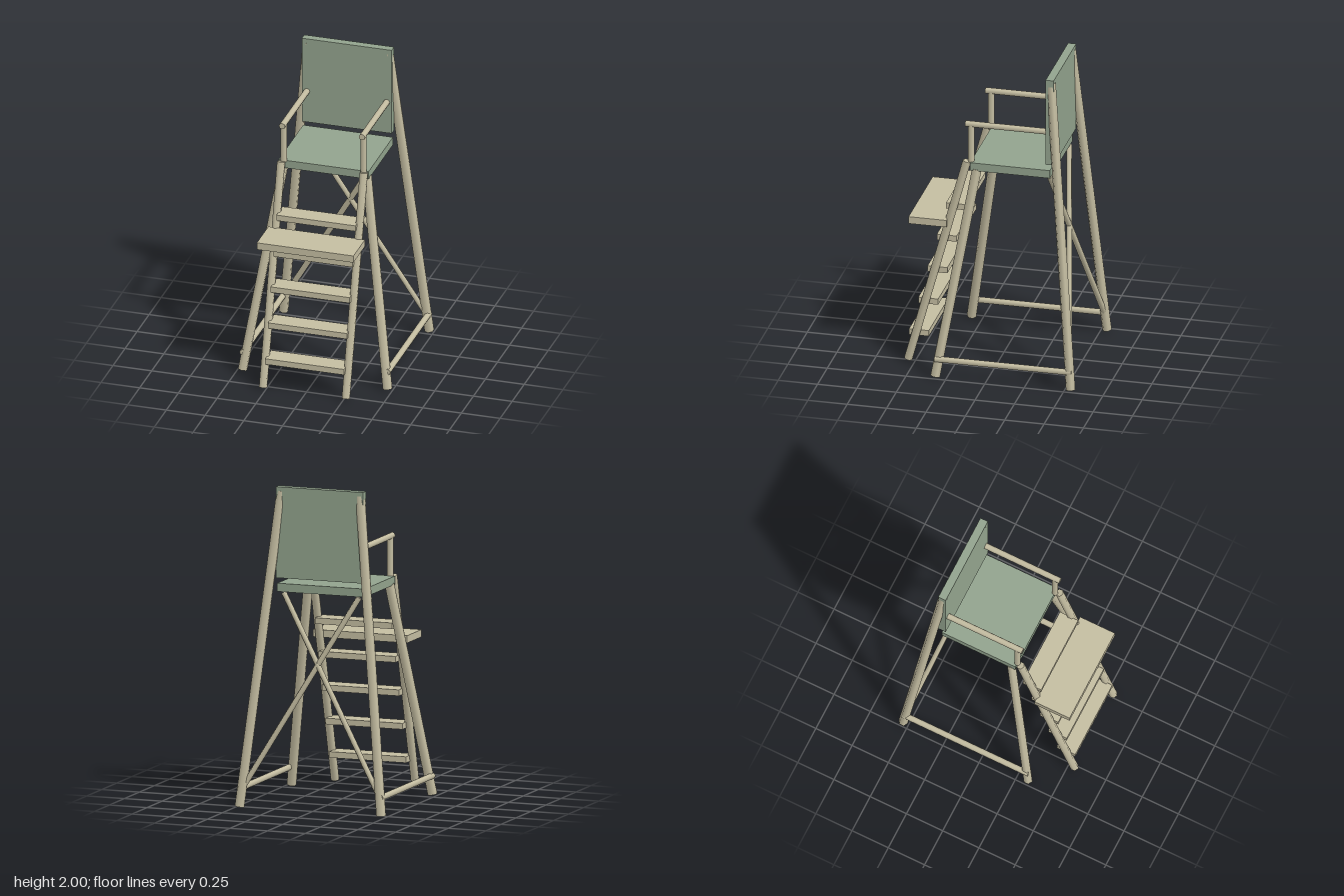
import * as THREE from 'three';

export function createModel() {
  const group = new THREE.Group();
  const wood = new THREE.MeshStandardMaterial({ color: 0xc5bea2 });
  wood.name = 'pale wood';
  const green = new THREE.MeshStandardMaterial({ color: 0x93a48e });
  green.name = 'sage green';

  // Round pole running from point a to point b
  function pole(name, a, b, radius, sides = 6) {
    const start = new THREE.Vector3(...a);
    const end = new THREE.Vector3(...b);
    const dir = end.clone().sub(start);
    const mesh = new THREE.Mesh(new THREE.CylinderGeometry(radius, radius, dir.length(), sides), wood);
    mesh.position.copy(start).add(end).multiplyScalar(0.5);
    mesh.quaternion.setFromUnitVectors(new THREE.Vector3(0, 1, 0), dir.normalize());
    mesh.name = name;
    group.add(mesh);
  }

  // Board centred on x = 0, given its width and its y and z ranges
  function board(name, width, [y0, y1], [z0, z1], material) {
    const mesh = new THREE.Mesh(new THREE.BoxGeometry(width, y1 - y0, z1 - z0), material);
    mesh.position.set(0, (y0 + y1) / 2, (z0 + z1) / 2);
    mesh.name = name;
    group.add(mesh);
  }

  // Seat and backrest
  board('seat', 0.58, [1.34, 1.392], [-0.362, 0.145], green);
  board('backrest', 0.58, [1.43, 2.0], [-0.386, -0.335], green);

  // Paired poles on both sides
  for (const [side, s] of [['left', 1], ['right', -1]]) {
    pole(`${side}BackLeg`, [s * 0.47, 0.01, -0.538], [s * 0.262, 1.972, -0.363], 0.03);
    pole(`${side}FrontLeg`, [s * 0.468, 0.01, 0.322], [s * 0.268, 1.345, 0.107], 0.03);
    pole(`${side}SideRail`, [s * 0.467, 0.125, 0.325], [s * 0.467, 0.125, -0.545], 0.02, 8);
    pole(`${side}LadderRail`, [s * 0.267, 0.018, 0.543], [s * 0.267, 1.393, 0.17], 0.026);
    pole(`${side}ArmPost`, [s * 0.258, 1.385, 0.145], [s * 0.258, 1.64, 0.145], 0.02, 8);
    pole(`${side}Armrest`, [s * 0.258, 1.64, 0.18], [s * 0.258, 1.64, -0.34], 0.02, 8);
    pole(`${side}CrossBrace`, [s * 0.25, 1.335, -0.352], [s * -0.455, 0.125, -0.527], 0.018);
  }

  // Ladder steps, leaning back as they rise
  for (let i = 0; i < 5; i++) {
    const y = 0.195 + i * 0.219;
    const z = 0.478 - i * 0.0588;
    board(`step${i + 1}`, 0.51, [y - 0.019, y + 0.019], [z - 0.063, z + 0.063], wood);
  }

  // Wide footrest
  board('footrest', 0.624, [0.95, 0.996], [0.29, 0.53], wood);

  return group;
}
